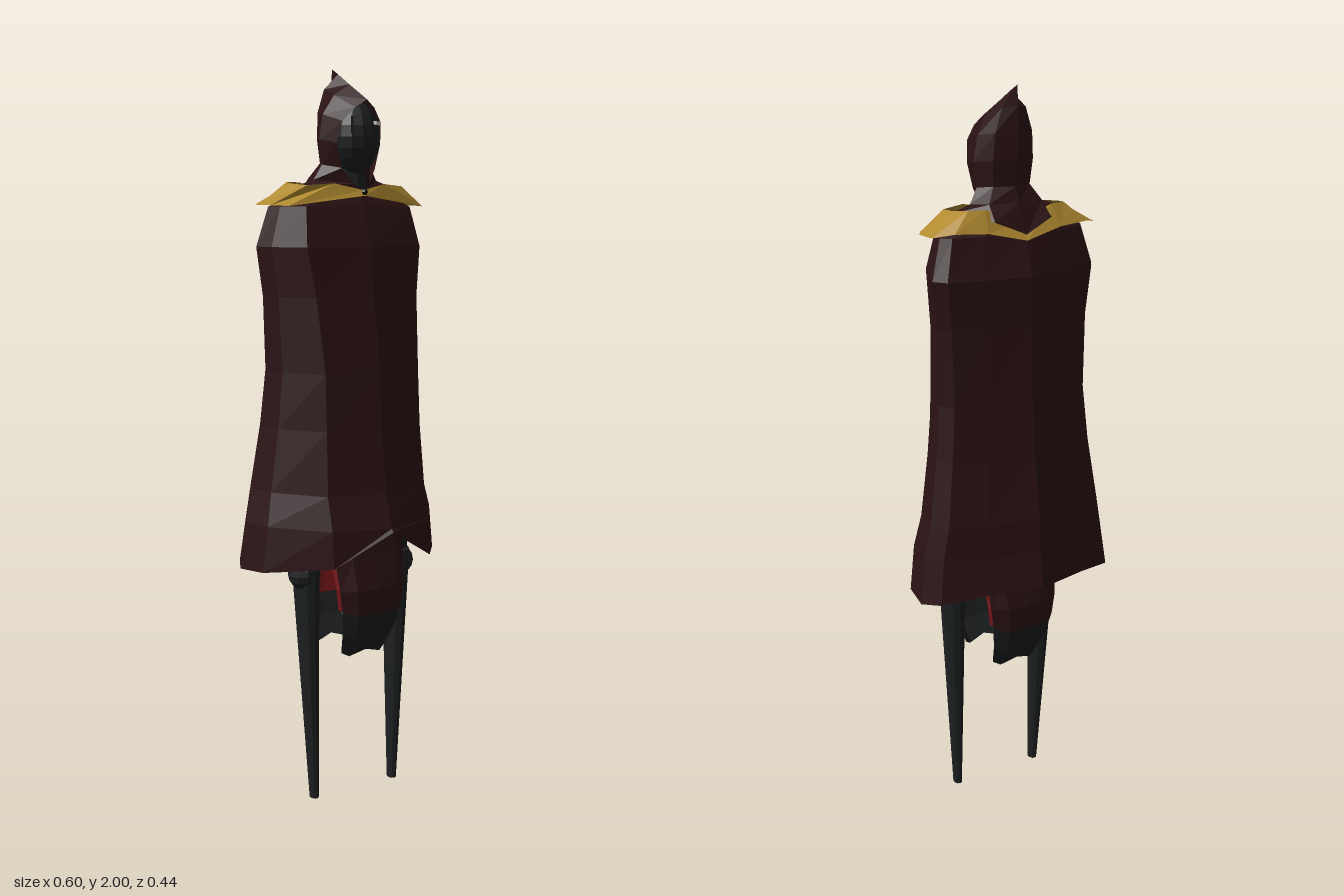
import * as THREE from 'three';

const mat = (color) => new THREE.MeshStandardMaterial({ color, flatShading: true, side: THREE.DoubleSide });

// Skins rows of [x, y, z] points given for the +x half, from the back centre round to the front.
function mirroredLoft(rows) {
  const pos = [];
  const full = rows.map((r) => [...r.slice(1).reverse().map(([x, y, z]) => [-x, y, z]), ...r]);
  for (let i = 0; i < full.length - 1; i++) {
    for (let j = 0; j < full[i].length - 1; j++) {
      const a = full[i][j], b = full[i][j + 1], c = full[i + 1][j], d = full[i + 1][j + 1];
      pos.push(...a, ...b, ...d, ...a, ...d, ...c);
    }
  }
  const g = new THREE.BufferGeometry();
  g.setAttribute('position', new THREE.Float32BufferAttribute(pos, 3));
  g.computeVertexNormals();
  return g;
}

export function createModel() {
  const model = new THREE.Group();
  const cloth = mat(0x2b1214), gold = mat(0xb08a30), dark = mat(0x1c1f20);
  const red = mat(0x8a1c20), white = mat(0xe8e8e8), black = mat(0x08090a);
  const add = (name, geo, material, parent = model) => {
    const m = new THREE.Mesh(geo, material);
    m.name = name;
    parent.add(m);
    return m;
  };

  // Cloak: one angular cross-section scaled per level [y, half width, front z, back z]
  const levels = [
    [1.68, 0.1, 0.05, -0.09], [1.635, 0.215, 0.075, -0.12], [1.53, 0.245, 0.11, -0.155],
    [1.4, 0.23, 0.125, -0.152], [1.2, 0.225, 0.155, -0.162], [1.05, 0.24, 0.165, -0.175],
    [0.88, 0.265, 0.185, -0.2], [0.79, 0.284, 0.213, -0.205], [0.68, 0.3, 0.22, -0.22],
  ];
  const depth = [0, 0.1, 0.19, 0.32, 0.53, 0.89, 1];
  const hem = [0.69, 0.685, 0.67, 0.66, 0.665, 0.69, 0.78];
  add('cloak', mirroredLoft(levels.map(([y, w, zf, zb], i) => {
    const panel = THREE.MathUtils.lerp(0.8, 0.52, i / (levels.length - 1));
    const across = [0, 0.53, 0.9, 1, 0.94, panel, 0];
    const last = i === levels.length - 1;
    return across.map((f, j) => [f * w, last ? hem[j] : y, zb + (zf - zb) * depth[j]]);
  })), cloth);

  // Gold shoulder mantle
  add('shoulderMantle', mirroredLoft([
    [[0, 1.665, -0.095], [0.1, 1.7, -0.088], [0.145, 1.7, -0.08], [0.162, 1.695, -0.03],
      [0.15, 1.69, 0.035], [0.08, 1.695, 0.055], [0, 1.678, 0.075]],
    [[0, 1.62, -0.132], [0.11, 1.645, -0.12], [0.2, 1.65, -0.108], [0.247, 1.64, -0.073],
      [0.241, 1.638, 0], [0.213, 1.636, 0.046], [0, 1.663, 0.083]],
  ]), gold);
  add('clasp', new THREE.SphereGeometry(0.009, 6, 4), black).position.set(0, 1.673, 0.08);

  // Pointed hood, open at the face and spreading over the neck
  add('hood', mirroredLoft([
    [[0, 2.0, -0.08], [0, 1.985, -0.05], [0, 1.955, 0.005], [0, 1.91, 0.09]],
    [[0, 1.95, -0.085], [0.035, 1.945, -0.065], [0.045, 1.925, 0], [0.03, 1.89, 0.08]],
    [[0, 1.89, -0.088], [0.055, 1.885, -0.065], [0.074, 1.875, -0.01], [0.06, 1.855, 0.065]],
    [[0, 1.82, -0.085], [0.06, 1.815, -0.062], [0.086, 1.81, -0.01], [0.069, 1.8, 0.05]],
    [[0, 1.75, -0.075], [0.055, 1.75, -0.055], [0.077, 1.745, -0.01], [0.052, 1.735, 0.05]],
    [[0, 1.71, -0.09], [0.08, 1.71, -0.075], [0.1, 1.705, -0.015], [0.025, 1.695, 0.065]],
    [[0, 1.635, -0.128], [0.085, 1.67, -0.112], [0.165, 1.685, -0.02], [0, 1.672, 0.076]],
  ]), cloth);

  // Smooth dark face plate with one bright eye and one dark slit
  const head = new THREE.Group();
  head.name = 'head';
  head.position.set(0, 1.815, 0.03);
  model.add(head);
  add('face', new THREE.SphereGeometry(1, 14, 10).scale(0.068, 0.095, 0.068), dark, head);
  const eye = add('leftEye', new THREE.BoxGeometry(0.027, 0.009, 0.008), white, head);
  eye.position.set(0.036, 0.036, 0.052);
  eye.rotation.y = 0.6;
  const slit = add('rightSlit', new THREE.BoxGeometry(0.006, 0.045, 0.008), black, head);
  slit.position.set(-0.04, 0.03, 0.051);
  slit.rotation.y = -0.6;
  add('neck', new THREE.CylinderGeometry(0.04, 0.055, 0.13, 8), dark).position.set(0, 1.71, 0);

  // Stilt legs with ball knees; the shin leans inward and forward toward the ground
  for (const s of [1, -1]) {
    const leg = new THREE.Group();
    leg.name = s > 0 ? 'leftLeg' : 'rightLeg';
    model.add(leg);
    const shin = new THREE.CylinderGeometry(0.036, 0.012, 0.68, 10, 4).translate(0, 0.34, 0);
    const p = shin.attributes.position;
    for (let i = 0; i < p.count; i++) {
      const t = p.getY(i) / 0.68;
      p.setX(i, s * (0.132 + 0.018 * t) + p.getX(i));
      p.setZ(i, 0.027 - 0.012 * t + p.getZ(i) * 1.35);
    }
    shin.computeVertexNormals();
    add('shin', shin, dark, leg);
    add('knee', new THREE.SphereGeometry(0.045, 10, 8), dark, leg).position.set(s * 0.155, 0.645, 0.018);
    const thigh = add('thigh', new THREE.CylinderGeometry(0.055, 0.036, 0.3, 8), dark, leg);
    thigh.position.set(s * 0.135, 0.79, 0.01);
    thigh.rotation.z = s * 0.13;
  }
  add('pelvis', new THREE.CylinderGeometry(0.1, 0.13, 0.14, 8).scale(1, 1, 0.65), dark).position.y = 0.93;

  // Front and back hanging cloths: brown top, dark ragged tip, red lining
  const upper = [
    [[0, 0.82, -0.11], [0.065, 0.82, -0.105], [0.11, 0.82, -0.08]],
    [[0, 0.69, -0.135], [0.07, 0.69, -0.132], [0.112, 0.69, -0.108]],
    [[0, 0.61, -0.155], [0.065, 0.61, -0.15], [0.105, 0.61, -0.122]],
    [[0, 0.54, -0.15], [0.06, 0.54, -0.146], [0.097, 0.55, -0.12]],
  ];
  const lower = [
    upper[3],
    [[0, 0.47, -0.125], [0.055, 0.47, -0.12], [0.085, 0.48, -0.102]],
    [[0, 0.425, -0.09], [0.05, 0.41, -0.082], [0.07, 0.42, -0.072]],
  ];
  const lining = upper.map((r) => r.map(([x, y, z]) => [x * 0.96, y, z + 0.026]));
  for (const [name, turn] of [['backCloth', 0], ['frontCloth', Math.PI]]) {
    const g = new THREE.Group();
    g.name = name;
    g.rotation.y = turn;
    model.add(g);
    add('panel', mirroredLoft(upper), cloth, g);
    add('tip', mirroredLoft(lower), dark, g);
    add('lining', mirroredLoft(lining), red, g);
  }
  return model;
}
